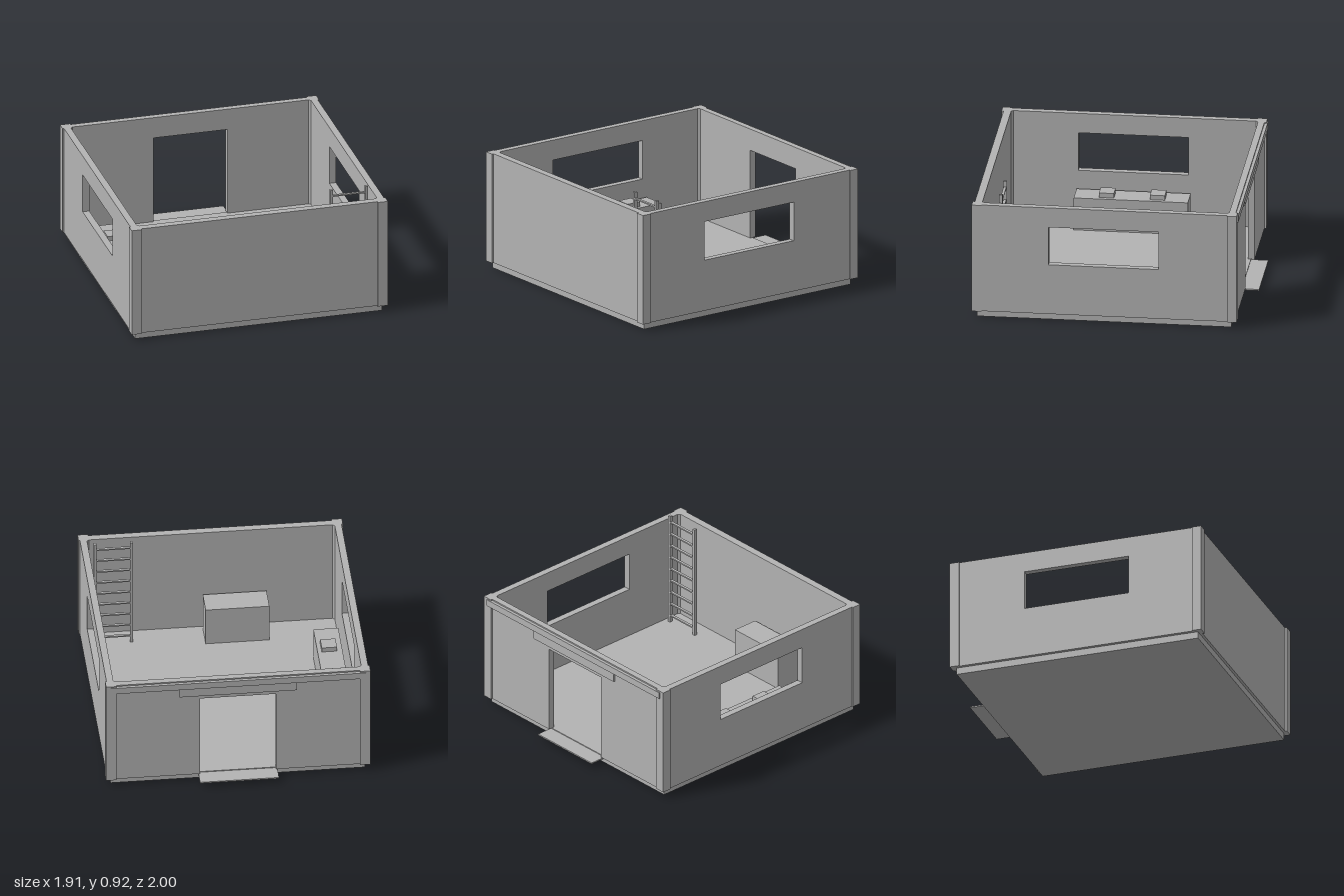
import * as THREE from 'three';

const grey = new THREE.MeshStandardMaterial({ color: 0xb3b3b3 });
grey.name = 'plain grey';

export function createModel() {
  const model = new THREE.Group();
  model.name = 'roomModule';

  const add = (parent, name, geometry) => {
    const mesh = new THREE.Mesh(geometry, grey);
    mesh.name = name;
    parent.add(mesh);
    return mesh;
  };

  // Box given by its minimum and maximum on each axis
  const box = (parent, name, [x0, x1], [y0, y1], [z0, z1]) => {
    const mesh = add(parent, name, new THREE.BoxGeometry(x1 - x0, y1 - y0, z1 - z0));
    mesh.position.set((x0 + x1) / 2, (y0 + y1) / 2, (z0 + z1) / 2);
    return mesh;
  };

  const polygon = (points) => new THREE.Shape(points.map(([x, y]) => new THREE.Vector2(x, y)));
  const extrude = (shape, depth) => new THREE.ExtrudeGeometry(shape, { depth, bevelEnabled: false });

  const Y = [0.05, 0.87];
  const inner = { x: 0.895, front: 0.93, back: -0.855 };

  // Floor slab and doorstep
  box(model, 'floorSlab', [-0.92, 0.92], [0, 0.05], [-0.875, 0.965]);
  box(model, 'doorstep', [-0.285, 0.285], [0.034, 0.044], [-1, -0.865]);

  // Side walls, each with one wide window
  for (const side of [-1, 1]) {
    const shape = polygon([[-0.985, Y[0]], [0.9, Y[0]], [0.9, Y[1]], [-0.985, Y[1]]]);
    shape.holes.push(polygon([[-0.445, 0.43], [-0.445, 0.72], [0.35, 0.72], [0.35, 0.43]]));
    const wall = add(model, side > 0 ? 'leftWall' : 'rightWall', extrude(shape, 0.05));
    wall.rotation.y = Math.PI / 2; // shape x runs towards -z
    wall.position.x = side > 0 ? inner.x : -inner.x - 0.05;
  }

  // Front wall, and back wall with its doorway
  box(model, 'frontWall', [-inner.x, inner.x], Y, [inner.front, 0.985]);
  const back = polygon([
    [-inner.x, Y[0]], [-0.275, Y[0]], [-0.275, 0.71], [0.275, 0.71],
    [0.275, Y[0]], [inner.x, Y[0]], [inner.x, Y[1]], [-inner.x, Y[1]],
  ]);
  add(model, 'backWall', extrude(back, 0.047)).position.z = -0.902;

  // L-shaped corner posts and small chamfers in the inner corners
  for (const sx of [-1, 1]) {
    const range = (a, b) => (sx > 0 ? [a, b] : [-b, -a]);
    box(model, 'frontCornerPost', range(0.88, 0.955), Y, [0.96, 1]);
    box(model, 'frontCornerPost', range(0.92, 0.955), Y, [0.93, 0.96]);
    box(model, 'backCornerPost', range(0.88, 0.955), Y, [-0.916, -0.875]);
    box(model, 'backCornerPost', range(0.92, 0.955), Y, [-0.875, -0.845]);
    for (const z of [inner.front, inner.back]) {
      const sz = Math.sign(z);
      const x = sx * inner.x;
      // Shape y becomes -z after the turn
      const shape = polygon([[x, -z], [x - sx * 0.015, -z], [x, -z + sz * 0.015]]);
      const chamfer = add(model, 'innerCornerChamfer', extrude(shape, Y[1] - Y[0]));
      chamfer.rotation.x = -Math.PI / 2;
      chamfer.position.y = Y[0];
    }
  }

  // Trim along the back edge and the panel over the door
  box(model, 'backTrim', [-0.92, 0.92], [0.81, 0.86], [-0.924, -0.9]);
  box(model, 'doorHeader', [-0.425, 0.425], [0.74, 0.812], [-0.915, -0.9]);

  // Ladder
  const ladder = new THREE.Group();
  ladder.name = 'ladder';
  model.add(ladder);
  for (const x of [0.577, 0.84]) box(ladder, 'ladderRail', [x, x + 0.02], [0.05, 0.92], [0.788, 0.814]);
  for (let i = 0; i < 9; i++) {
    const y = 0.098 + i * 0.096;
    box(ladder, 'ladderRung', [0.59, 0.848], [y, y + 0.01], [0.791, 0.811]);
  }

  // Furniture: long bench with two small boxes, and a cabinet by the front wall
  box(model, 'bench', [-0.87, -0.69], [0.05, 0.297], [-0.37, 0.455]);
  for (const z of [-0.2, 0.168]) box(model, 'benchBox', [-0.83, -0.72], [0.297, 0.332], [z, z + 0.108]);
  box(model, 'cabinet', [-0.4, 0.06], [0.05, 0.345], [0.71, 0.905]);

  return model;
}
